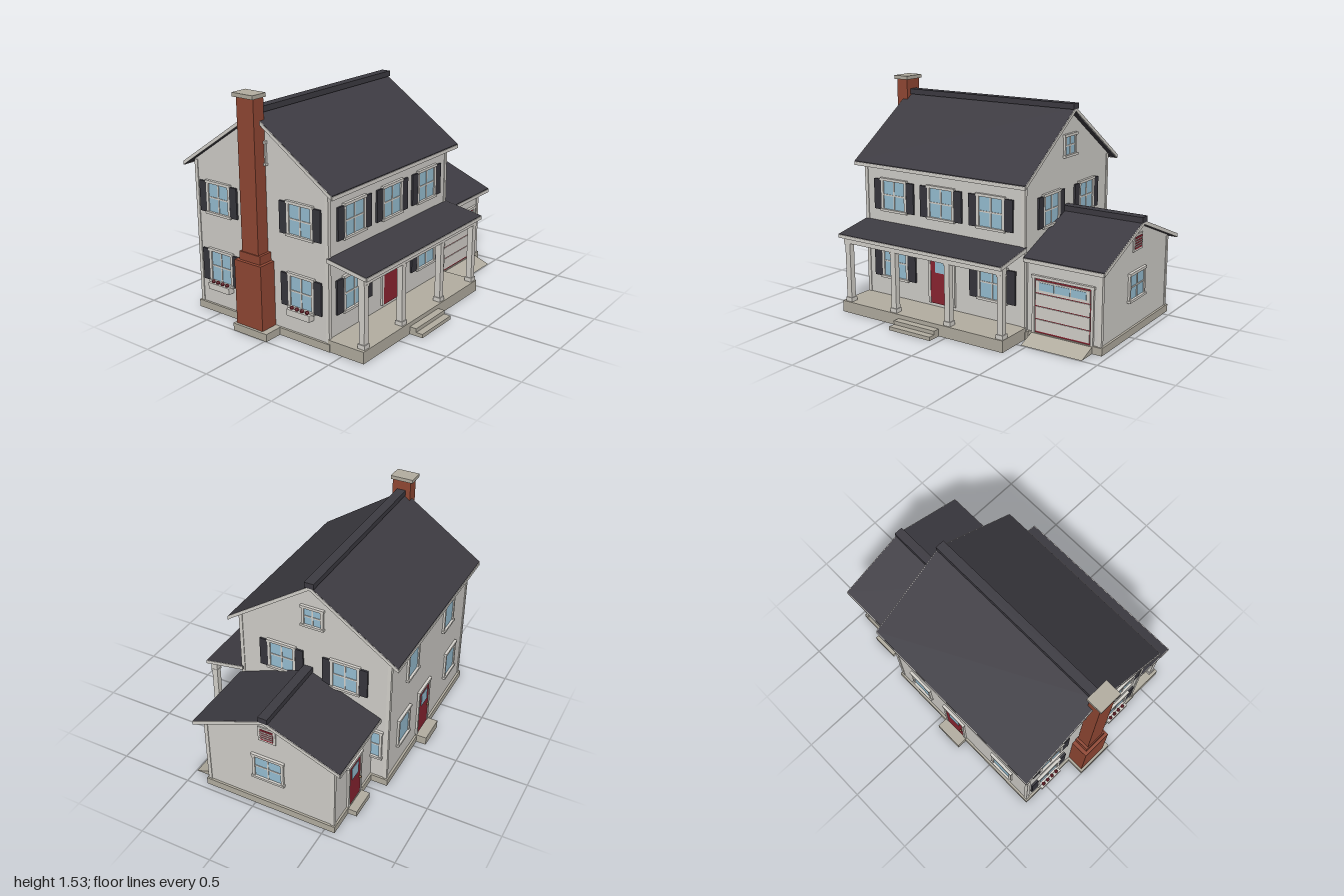
import * as THREE from 'three';

const mat = (name, color) => {
  const m = new THREE.MeshStandardMaterial({ color });
  m.name = name;
  return m;
};

export function createModel() {
  const siding = mat('siding', 0xd2d0cb);
  const trim = mat('trim', 0xd6d3cd);
  const slate = mat('roof slate', 0x3d3b42);
  const shutterPaint = mat('shutter paint', 0x37363d);
  const red = mat('red paint', 0x8b2431);
  const glass = mat('glass', 0x98c0d4);
  const stone = mat('stone', 0xb3aea1);
  const brick = mat('brick', 0x924834);
  const brass = mat('door metal', 0x8a6a4a);

  const house = new THREE.Group();
  house.name = 'house';

  const add = (parent, name, geo, material) => {
    const m = new THREE.Mesh(geo, material);
    m.name = name;
    parent.add(m);
    return m;
  };
  // box given by its lowest and highest corners
  const box = (parent, name, material, x0, x1, y0, y1, z0, z1) => {
    const m = add(parent, name, new THREE.BoxGeometry(x1 - x0, y1 - y0, z1 - z0), material);
    m.position.set((x0 + x1) / 2, (y0 + y1) / 2, (z0 + z1) / 2);
    return m;
  };
  // outline of [z, y] points extruded along x
  const prism = (name, material, pts, x0, x1) => {
    const shape = new THREE.Shape(pts.map(p => new THREE.Vector2(...p)));
    const geo = new THREE.ExtrudeGeometry(shape, { depth: x1 - x0, bevelEnabled: false });
    geo.rotateY(-Math.PI / 2).translate(x1, 0, 0);
    return add(house, name, geo, material);
  };

  // walls, gable roof, ridge cap, rake boards and fascias of one block
  function block(name, w) {
    const mid = (w.z0 + w.z1) / 2;
    const half = (w.z1 - w.z0) / 2;
    const reach = half + w.over;
    const t = 0.026;
    const under = w.ridge - t - (w.ridge - w.eave) * half / reach;
    prism(name + 'Walls', siding, [[w.z0, 0.05], [w.z1, 0.05], [w.z1, under],
      [mid, w.ridge - t], [w.z0, under]], w.x0, w.x1);
    const chevron = (d, r) => [[mid - r, w.eave - d], [mid - r, w.eave - t], [mid, w.ridge - t],
      [mid + r, w.eave - t], [mid + r, w.eave - d], [mid, w.ridge - d]].reverse();
    prism(name + 'Roof', slate, chevron(0, reach), w.r0, w.r1);
    for (const x of w.rakes) prism(name + 'RakeBoard', trim, chevron(0.001, reach), x - 0.004, x + 0.004);
    for (const s of [-1, 1]) {
      const z = mid + s * reach;
      box(house, name + 'Fascia', trim, w.r0, w.r1, w.eave - t - 0.002, w.eave - 0.005, z - 0.004, z + 0.004);
    }
    box(house, name + 'RidgeCap', slate, w.r0 - 0.004, w.r1 + 0.006, w.ridge - 0.012, w.ridge + 0.025, mid - 0.032, mid + 0.032);
    // corner boards
    for (const x of w.corners) for (const z of [w.z0, w.z1]) {
      const dx = x === w.x0 ? 1 : -1, dz = z === w.z0 ? 1 : -1;
      const xs = [x - dx * 0.005, x + dx * 0.02].sort((a, b) => a - b);
      const zs = [z - dz * 0.005, z + dz * 0.02].sort((a, b) => a - b);
      box(house, name + 'CornerBoard', trim, ...xs, 0.05, under - 0.005, ...zs);
    }
  }
  block('main', { x0: -0.86, x1: 0.42, z0: -0.67, z1: 0.396, ridge: 1.412, eave: 1.008, over: 0.062,
    r0: -0.902, r1: 0.463, rakes: [-0.902, 0.463], corners: [-0.86, 0.42] });
  block('garage', { x0: 0.42, x1: 0.945, z0: -0.557, z1: 0.356, ridge: 0.75, eave: 0.545, over: 0.06,
    r0: 0.424, r1: 0.988, rakes: [0.988], corners: [0.945] });

  // foundations, steps and ramp
  box(house, 'mainFoundation', stone, -0.875, 0.435, 0, 0.05, -0.685, 0.41);
  box(house, 'garageFoundation', stone, 0.42, 0.96, 0, 0.05, -0.57, 0.37);
  box(house, 'porchFloor', stone, -0.87, 0.432, 0, 0.078, 0.396, 0.66);
  box(house, 'upperPorchStep', stone, -0.385, -0.055, 0, 0.05, 0.65, 0.708);
  box(house, 'lowerPorchStep', stone, -0.385, -0.055, 0, 0.025, 0.7, 0.755);
  box(house, 'backStep', stone, -0.255, -0.05, 0, 0.06, -0.755, -0.675);
  box(house, 'garageBackStep', stone, 0.58, 0.77, 0, 0.04, -0.63, -0.56);
  prism('garageRamp', stone, [[0.36, 0], [0.495, 0], [0.37, 0.045], [0.36, 0.045]], 0.458, 0.892);

  // porch roof, beam and posts
  prism('porchRoof', slate, [[0.39, 0.578], [0.676, 0.53], [0.676, 0.552], [0.39, 0.603]], -0.868, 0.432);
  for (const x of [-0.868, 0.432]) {
    prism('porchRakeBoard', trim, [[0.39, 0.576], [0.678, 0.528], [0.678, 0.551], [0.39, 0.602]], x - 0.004, x + 0.004);
  }
  box(house, 'porchFascia', trim, -0.868, 0.432, 0.527, 0.549, 0.673, 0.681);
  box(house, 'porchBeam', trim, -0.85, 0.425, 0.487, 0.54, 0.602, 0.648);
  for (const x of [-0.823, -0.433, 0.003, 0.403]) {
    box(house, 'porchPost', trim, x - 0.02, x + 0.02, 0.1, 0.49, 0.605, 0.645);
    box(house, 'porchPostBase', trim, x - 0.026, x + 0.026, 0.078, 0.106, 0.599, 0.651);
    box(house, 'porchPostCap', trim, x - 0.024, x + 0.024, 0.475, 0.488, 0.601, 0.649);
  }

  // chimney
  box(house, 'chimneyFooting', stone, -1, -0.86, 0, 0.05, -0.26, 0.015);
  box(house, 'chimneyBase', brick, -0.983, -0.855, 0.05, 0.48, -0.245, -0.03);
  box(house, 'chimneyShoulder', brick, -0.962, -0.855, 0.48, 0.535, -0.22, -0.052);
  box(house, 'chimneyStack', brick, -0.955, -0.866, 0.53, 1.507, -0.203, -0.07);
  box(house, 'chimneyCap', stone, -0.972, -0.857, 1.505, 1.53, -0.22, -0.058);

  // groups on a wall face the local +z
  const turns = { front: 0, right: Math.PI / 2, back: Math.PI, left: -Math.PI / 2 };
  const mount = (name, side, x, y, z) => {
    const g = new THREE.Group();
    g.name = name;
    g.position.set(x, y, z);
    g.rotation.y = turns[side];
    house.add(g);
    return g;
  };

  function surround(g, w, h, bottom) {
    const a = w / 2, b = h / 2;
    for (const s of [-1, 1]) {
      const x = s * (a + 0.009);
      box(g, 'sideCasing', trim, x - 0.009, x + 0.009, -b, b, 0, 0.014);
    }
    box(g, 'head', trim, -a - 0.024, a + 0.024, b, b + 0.018, 0, 0.019);
    if (bottom) box(g, 'sill', trim, -a - 0.024, a + 0.024, -b - 0.016, -b, 0, 0.022);
  }

  function windowUnit(side, x, y, z, w, h, { bars = true, shutters = 0, flowers = false } = {}) {
    const g = mount('window', side, x, y, z);
    const a = w / 2, b = h / 2;
    box(g, 'pane', glass, -a, a, -b, b, 0, 0.006);
    surround(g, w, h, true);
    if (bars) {
      box(g, 'uprightBar', trim, -0.005, 0.005, -b, b, 0.002, 0.01);
      box(g, 'crossBar', trim, -a, a, -0.005, 0.005, 0.002, 0.01);
    }
    if (shutters) for (const s of [-1, 1]) {
      const c = s * (a + 0.014 + shutters / 2);
      box(g, 'shutter', shutterPaint, c - shutters / 2, c + shutters / 2, -b - 0.008, b + 0.006, 0, 0.013);
    }
    if (flowers) {
      box(g, 'flowerBox', trim, -0.09, 0.09, -b - 0.055, -b - 0.012, 0, 0.045);
      for (const u of [-0.06, -0.02, 0.02, 0.06]) {
        const f = add(g, 'flower', new THREE.IcosahedronGeometry(0.014, 0), red);
        f.position.set(u, -b - 0.004, 0.028);
      }
    }
  }

  // front windows
  for (const x of [-0.612, -0.22, 0.172]) windowUnit('front', x, 0.79, 0.396, 0.176, 0.195, { shutters: 0.066 });
  for (const x of [-0.615, 0.183]) windowUnit('front', x, 0.325, 0.396, 0.186, 0.21, { shutters: 0.07 });
  // back windows
  for (const x of [0.08, -0.52]) windowUnit('back', x, 0.79, -0.67, 0.14, 0.19, { bars: false });
  for (const x of [0.18, -0.62]) windowUnit('back', x, 0.325, -0.67, 0.15, 0.19, { bars: false });
  // side windows
  for (const z of [0.09, -0.363]) windowUnit('right', 0.42, 0.785, z, 0.164, 0.19, { shutters: 0.062 });
  for (const z of [0.19, -0.475]) {
    windowUnit('left', -0.86, 0.79, z, 0.164, 0.19, { shutters: 0.062 });
    windowUnit('left', -0.86, 0.325, z, 0.164, 0.2, { shutters: 0.062, flowers: true });
  }
  windowUnit('right', 0.42, 0.325, -0.54, 0.15, 0.195);
  for (const [s, x] of [['right', 0.42], ['left', -0.86]]) windowUnit(s, x, 1.163, -0.137, 0.115, 0.118);
  windowUnit('right', 0.945, 0.325, -0.1, 0.186, 0.16);

  // doors
  function door(name, side, x, y0, z, w, h) {
    const g = mount(name, side, x, y0 + h / 2, z);
    const b = h / 2;
    box(g, 'leaf', red, -w / 2, w / 2, -b, b, 0, 0.01);
    surround(g, w, h, false);
    box(g, 'doorPane', glass, -w * 0.29, w * 0.29, b - h * 0.38, b - h * 0.1, 0.006, 0.013);
    const knob = add(g, 'knob', new THREE.SphereGeometry(0.009, 10, 8), brass);
    knob.position.set(w * 0.4, -0.02, 0.017);
  }
  door('frontDoor', 'front', -0.22, 0.1, 0.396, 0.18, 0.35);
  door('backDoor', 'back', -0.153, 0.06, -0.67, 0.16, 0.35);
  door('garageBackDoor', 'back', 0.675, 0.045, -0.557, 0.15, 0.33);

  // garage door: pale panels over a red backing
  const gd = mount('garageDoor', 'front', 0.678, 0.23, 0.356);
  box(gd, 'doorBacking', red, -0.198, 0.198, -0.18, 0.175, 0, 0.006);
  surround(gd, 0.4, 0.36, false);
  for (let i = 0; i < 4; i++) {
    const y = -0.168 + i * 0.085;
    box(gd, 'doorPanel', trim, -0.192, 0.192, y, y + 0.078, 0.004, 0.011);
  }
  for (const x of [-0.114, 0, 0.114]) box(gd, 'doorWindow', glass, x - 0.053, x + 0.053, 0.105, 0.155, 0.009, 0.014);

  // garage gable vent
  const vent = mount('gableVent', 'right', 0.945, 0.605, -0.1);
  box(vent, 'ventFrame', trim, -0.062, 0.062, -0.054, 0.054, 0, 0.008);
  box(vent, 'ventOpening', red, -0.045, 0.045, -0.04, 0.04, 0.006, 0.011);
  for (let i = 0; i < 4; i++) {
    const y = -0.024 + i * 0.016;
    box(vent, 'ventSlat', trim, -0.045, 0.045, y - 0.003, y + 0.003, 0.009, 0.015);
  }

  return house;
}
